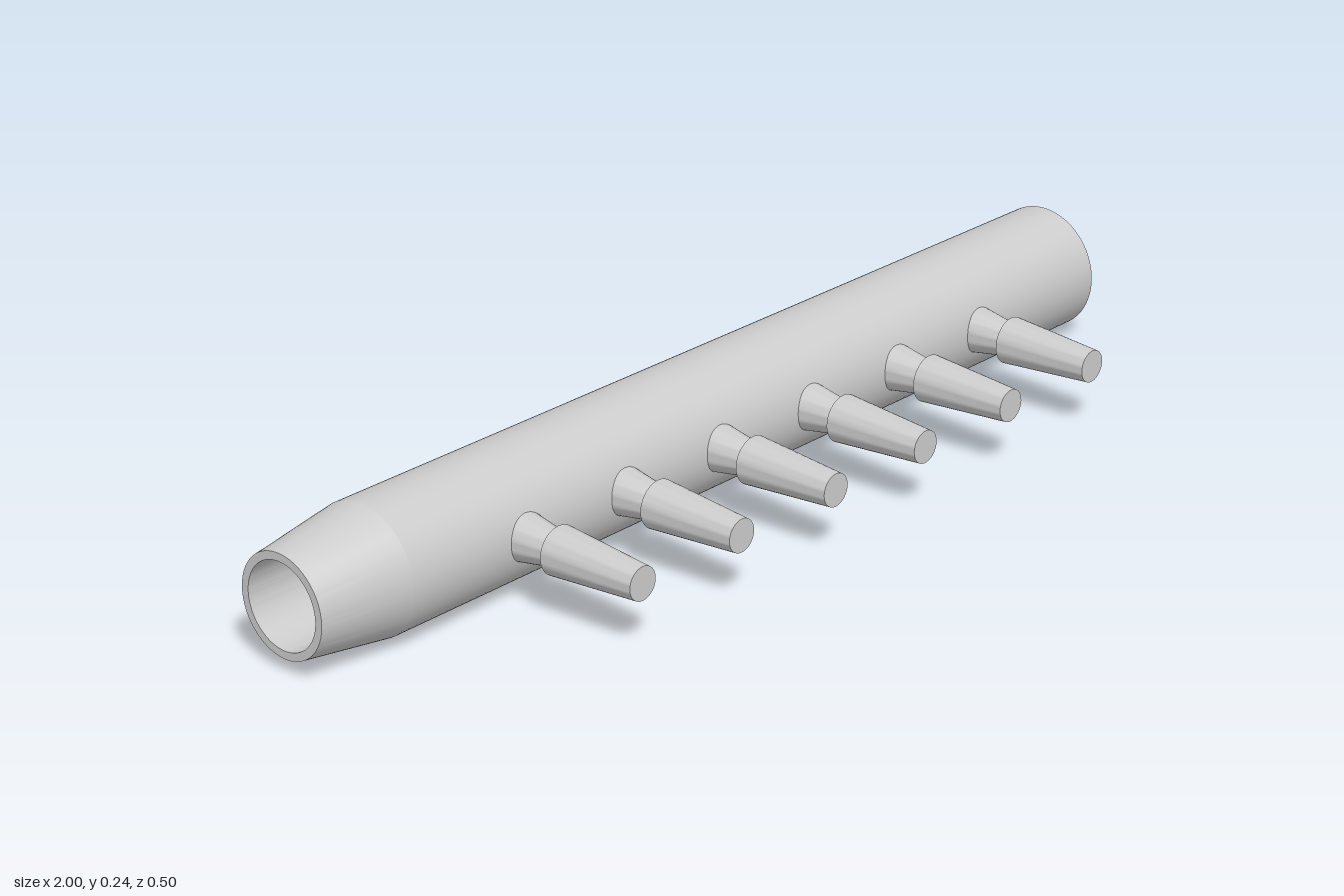
import * as THREE from 'three';
import { toCreasedNormals } from 'three/addons/utils/BufferGeometryUtils.js';

const AXIS_Y = 0.121;
const AXIS_Z = -0.13;

// Turned part from [radius, height] pairs, with sharp profile corners
function turned(name, profile, segments, crease, material) {
  const points = profile.map(([r, h]) => new THREE.Vector2(r, h));
  const geometry = toCreasedNormals(new THREE.LatheGeometry(points, segments), crease);
  const mesh = new THREE.Mesh(geometry, material);
  mesh.name = name;
  return mesh;
}

export function createModel() {
  const model = new THREE.Group();
  model.name = 'manifold';
  const material = new THREE.MeshStandardMaterial({ color: 0xcccccc });

  // Main pipe: tapered open inlet at -x, closed flat end at +x
  const pipe = turned('mainPipe', [
    [0, 0.98], [0.08, 0.98], [0.08, -1], [0.095, -1],
    [0.121, -0.82], [0.121, 1], [0, 1],
  ], 72, 0.12, material);
  pipe.rotation.z = -Math.PI / 2;
  pipe.position.set(0, AXIS_Y, AXIS_Z);
  model.add(pipe);

  // Row of hose barbs: narrowing neck, stepped collar, tapered closed tip
  const barbProfile = [
    [0, -0.035], [0.047, -0.035], [0.031, 0.06],
    [0.045, 0.06], [0.031, 0.25], [0, 0.25],
  ];
  for (let i = 0; i < 6; i++) {
    const barb = turned('hoseBarb' + (i + 1), barbProfile, 36, 0.5, material);
    barb.rotation.x = Math.PI / 2;
    barb.position.set(-0.555 + i * 0.2424, AXIS_Y + 0.001, 0);
    model.add(barb);
  }
  return model;
}
